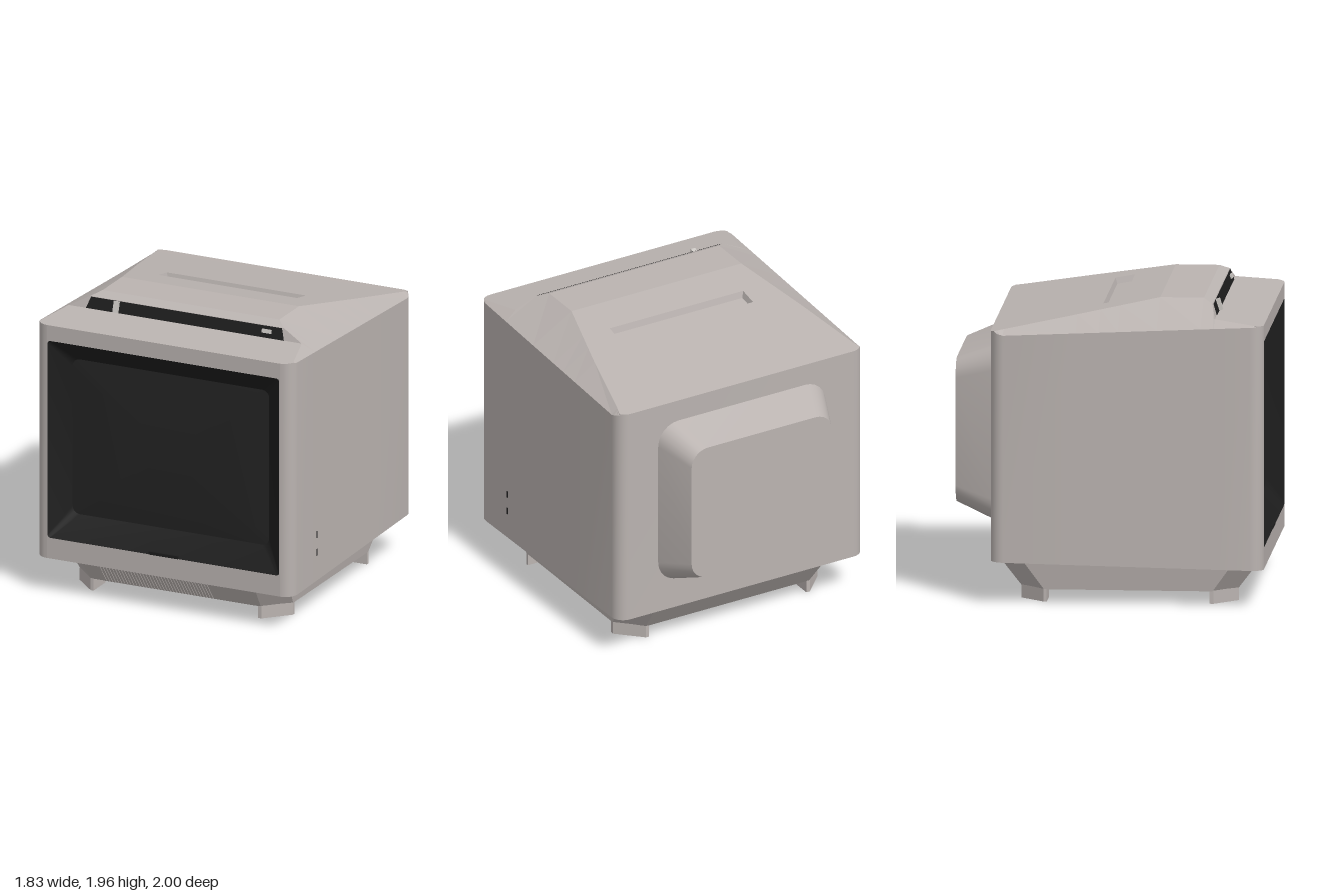
import * as THREE from 'three';
import { toCreasedNormals } from 'three/addons/utils/BufferGeometryUtils.js';

const mat = (name, color, side = THREE.FrontSide) => {
  const m = new THREE.MeshStandardMaterial({ color, side });
  m.name = name;
  return m;
};

// Skin between successive rings of [x, y, z] points
function loft(rings, { closed = true, crease = 0, skip = () => false } = {}) {
  const pos = [];
  for (let i = 0; i < rings.length - 1; i++) {
    const p = rings[i], q = rings[i + 1], n = p.length;
    for (let j = 0; j < (closed ? n : n - 1); j++) {
      if (skip(i, j)) continue;
      const k = (j + 1) % n;
      pos.push(...p[j], ...p[k], ...q[k], ...p[j], ...q[k], ...q[j]);
    }
  }
  const g = new THREE.BufferGeometry();
  g.setAttribute('position', new THREE.Float32BufferAttribute(pos, 3));
  g.computeVertexNormals();
  return crease ? toCreasedNormals(g, crease) : g;
}

// Rounded rectangle facing +z, counter-clockwise
function roundRect(hw, y0, y1, r, z, seg = 6) {
  const out = [], hh = (y1 - y0) / 2, cy = (y0 + y1) / 2;
  [[1, 1], [-1, 1], [-1, -1], [1, -1]].forEach(([sx, sy], c) => {
    for (let i = 0; i <= seg; i++) {
      const t = (c + i / seg) * Math.PI / 2;
      out.push([sx * (hw - r) + r * Math.cos(t), cy + sy * (hh - r) + r * Math.sin(t), z]);
    }
  });
  return out;
}

// Interpolate column c of a key table sorted by falling z
function lookup(keys, z, c) {
  for (let i = 0; i < keys.length - 1; i++) {
    const a = keys[i], b = keys[i + 1];
    if (z >= b[0] - 1e-6) return a[c] + (b[c] - a[c]) * (a[0] - z) / (a[0] - b[0]);
  }
  return keys[keys.length - 1][c];
}

export function createModel() {
  const model = new THREE.Group();
  const shell = mat('warm grey shell', 0xbab3b0);
  const bezelMat = mat('black bezel', 0x1d1d1d);
  const glass = mat('dark glass', 0x232323);
  const light = mat('light grey controls', 0xcac6c2);
  const add = (name, geo, material, parent = model) => {
    const m = new THREE.Mesh(geo, material);
    m.name = name;
    parent.add(m);
    return m;
  };
  const box = (name, material, w, h, d, x, y, z, parent) => {
    const m = add(name, new THREE.BoxGeometry(w, h, d), material, parent);
    m.position.set(x, y, z);
    return m;
  };

  // Cabinet outline in plan, with rounded corners
  const R = 0.085, FX = 0.83, N = 6;
  const topEdge = [[1, 1.82], [-0.665, 1.744], [-0.75, 1.765]];
  const roofKeys = [ // z, half width of the roof panel, height
    [1, 0.915, 1.82], [0.685, 0.83, 1.855], [0.66, 0.69, 1.93], [0.6, 0.63, 1.96],
    [0.32, 0.63, 1.96], [-0.2, 0.765, 1.865], [-0.665, 0.872, 1.78], [-0.75, 0.9, 1.765]];
  const roofY = z => lookup(roofKeys, z, 2);
  const slotX = 0.495, slotF = 0.07, slotB = -0.055;
  const side = [];
  for (let i = 0; i <= N; i++) {
    const t = i / N * Math.PI / 2;
    side.push([FX + R * Math.sin(t), 1 - R + R * Math.cos(t)]);
  }
  for (const z of [0.685, 0.66, 0.6, 0.32, slotF, slotB, -0.2]) side.push([FX + R, z]);
  for (let i = 0; i <= N; i++) {
    const t = i / N * Math.PI / 2;
    side.push([FX + R * Math.cos(t), -0.75 + R - R * Math.sin(t)]);
  }
  const outline = [...side, ...side.map(([x, z]) => [-x, z]).reverse()];
  const bottom = outline.map(([x, z]) => [x, 0.24 + 0.02 * (1 - z), z]);
  const top = outline.map(([x, z]) => [x, lookup(topEdge, z, 1), z]);
  add('cabinetWalls', loft([bottom, top], { closed: false, crease: 0.5 }), shell);
  add('cabinetFloor', loft([bottom.map(() => [0, 0.2575, 0.125]), bottom]), shell);

  // Front frame with the screen opening
  const frame = new THREE.Shape([[-FX, 0.24], [FX, 0.24], [FX, 1.82], [-FX, 1.82]]
    .map(p => new THREE.Vector2(...p)));
  const opening = roundRect(0.825, 0.38, 1.715, 0.02, 1, 4);
  frame.holes.push(new THREE.Path(opening.map(p => new THREE.Vector2(p[0], p[1]))));
  add('frontFrame', new THREE.ShapeGeometry(frame).translate(0, 0, 1), shell);

  // Sloping bezel and gently bulging screen
  const inner = roundRect(0.7, 0.53, 1.58, 0.05, 0.89, 4);
  add('bezel', loft([opening, inner], { crease: 0.5 }), bezelMat);
  const screenRings = [1, 0.8, 0.6, 0.4, 0.2, 0].map(s =>
    inner.map(([x, y]) => [x * s, 1.055 + (y - 1.055) * s, 0.89 + 0.03 * (1 - s * s)]));
  add('screen', loft(screenRings, { crease: 0.6 }), glass);
  box('bezelTab', bezelMat, 0.21, 0.02, 0.02, 0, 0.388, 0.991);

  // Faceted roof, left open over the slot
  const sections = side.map(([xe, z]) => {
    const xt = Math.min(lookup(roofKeys, z, 1), xe), ye = lookup(topEdge, z, 1), yt = roofY(z);
    return [[-xe, ye, z], [-xt, yt, z], [-slotX, yt, z], [slotX, yt, z], [xt, yt, z], [xe, ye, z]];
  });
  const slotRow = side.findIndex(p => p[1] === slotF);
  add('roof', loft(sections, { closed: false, skip: (i, j) => i === slotRow && j === 2 }), shell);

  // Recessed slot in the roof
  const slotRing = (inset, depth) => [[-1, slotF], [1, slotF], [1, slotB], [-1, slotB]].map(([s, z]) => {
    const zz = z + (z === slotF ? -inset : inset);
    return [s * (slotX - inset), roofY(zz) - depth, zz];
  });
  const floorRing = slotRing(0.012, 0.04);
  add('roofSlot', loft([slotRing(0, 0), floorRing,
    floorRing.map(() => [0, roofY(0.0075) - 0.04, 0.0075])]), shell);

  // Control strip on the step of the roof
  add('controlStrip', loft([
    [[-0.705, 1.856, 0.689], [0.705, 1.856, 0.689]],
    [[-0.68, 1.929, 0.665], [0.68, 1.929, 0.665]]], { closed: false }),
  mat('black control strip', 0x1d1d1d, THREE.DoubleSide));
  box('slider', light, 0.032, 0.075, 0.035, -0.49, 1.895, 0.685).rotation.x = -0.3;
  box('button', light, 0.065, 0.026, 0.02, 0.578, 1.897, 0.677).rotation.x = -0.3;

  // Tapered rear housing
  const rear = roundRect(0.52, 0.585, 1.52, 0.12, -1);
  add('rearHousing', loft([rear.map(() => [0, 1.05, -1]), rear,
    roundRect(0.62, 0.48, 1.62, 0.15, -0.75)], { crease: 0.5 }), shell);

  // Base with chamfered corners, narrowing downwards
  const octagon = (x, zf, zb, c, y) => [
    [x - c, y, zf], [x, y, zf - c], [x, y, zb + c], [x - c, y, zb],
    [c - x, y, zb], [-x, y, zb + c], [-x, y, zf - c], [c - x, y, zf]];
  const baseLow = octagon(0.76, 0.82, -0.57, 0.155, 0.08);
  add('base', loft([baseLow.map(() => [0, 0.08, 0.125]), baseLow,
    octagon(0.79, 0.968, -0.72, 0.165, 0.275)]), shell);

  // Vent ribs on the sloping front of the base
  const vent = new THREE.Group();
  vent.name = 'ventRibs';
  vent.position.set(0, 0.16, 0.881);
  vent.rotation.x = Math.atan2(0.148, 0.195);
  model.add(vent);
  for (let i = 0; i < 36; i++) box('ventRib', shell, 0.011, 0.19, 0.008, -0.495 + i * 0.0217, 0, 0, vent);

  // Four corner feet, each with its outer corner cut off
  const footRing = y => [[-0.0875, 0.0875], [-0.0625, 0.0875], [0.0875, -0.0675],
    [0.0875, -0.0875], [-0.0875, -0.0875]].map(([x, z]) => [x, y, z]);
  const footGeo = loft([footRing(0).map(() => [-0.02, 0, -0.02]), footRing(0), footRing(0.085)]);
  [[1, 0.7345], [1, -0.4845], [-1, -0.4845], [-1, 0.7345]].forEach(([s, z], k) => {
    const foot = add('foot', footGeo, shell);
    foot.position.set(s * 0.6725, 0, z);
    foot.rotation.y = k * Math.PI / 2;
  });

  // Small side sockets
  for (const y of [0.44, 0.56]) box('sideSocket', bezelMat, 0.006, 0.045, 0.012, 0.915, y, 0.64);

  return model;
}
